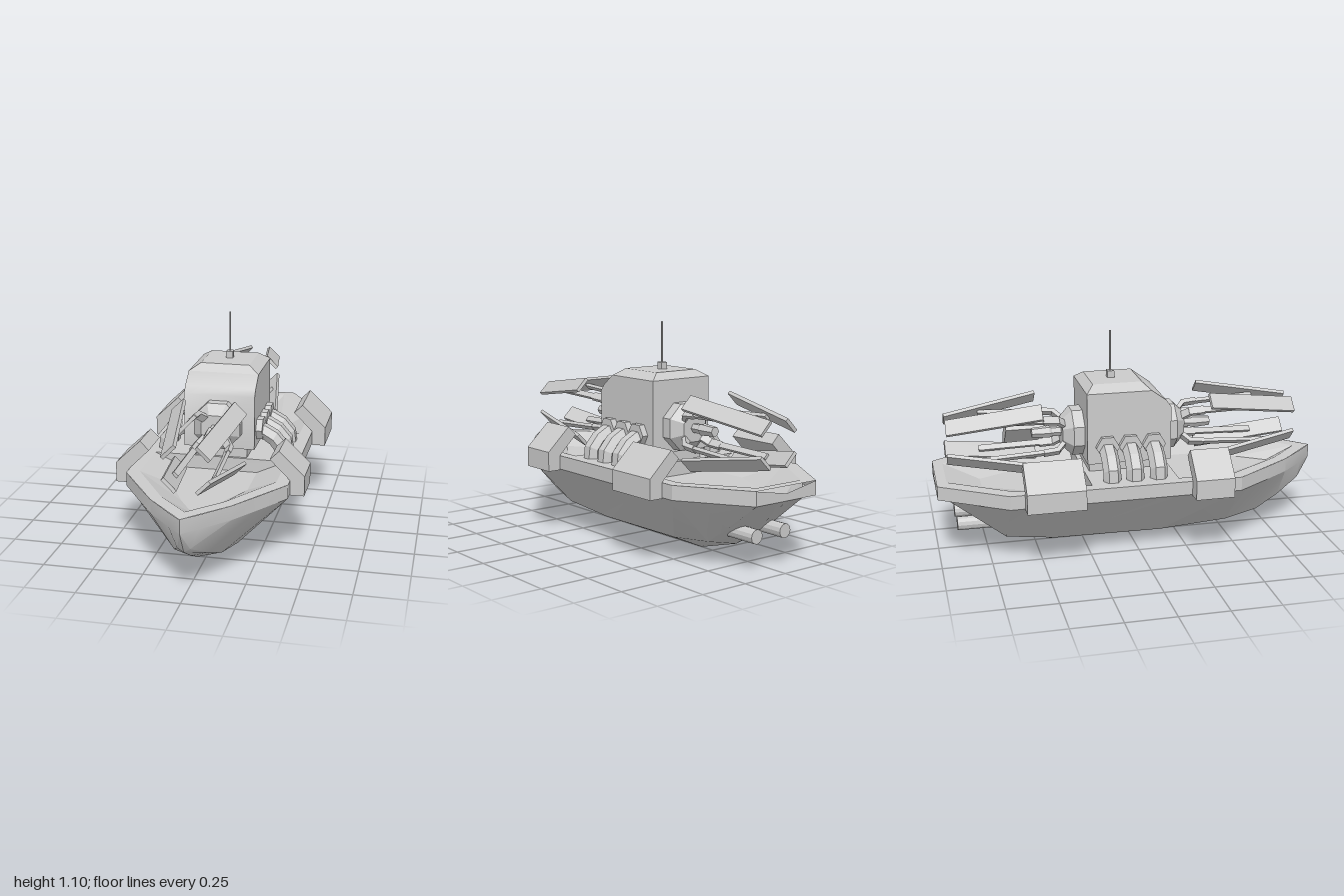
import * as THREE from 'three';
import { toCreasedNormals } from 'three/addons/utils/BufferGeometryUtils.js';

const flat = new THREE.MeshStandardMaterial({ color: 0xcccccc, flatShading: true });
const flatDouble = new THREE.MeshStandardMaterial({ color: 0xcccccc, flatShading: true, side: THREE.DoubleSide });
const smooth = new THREE.MeshStandardMaterial({ color: 0xcccccc, side: THREE.DoubleSide });

function add(parent, name, geometry, material = flat, x = 0, y = 0, z = 0) {
  const mesh = new THREE.Mesh(geometry, material);
  mesh.name = name;
  mesh.position.set(x, y, z);
  parent.add(mesh);
  return mesh;
}

// Skin over a list of cross-sections that all have the same point count
function loft(rings, closed) {
  const n = rings[0].length, index = [];
  for (let i = 0; i < rings.length - 1; i++) {
    for (let j = 0; j < (closed ? n : n - 1); j++) {
      const a = i * n + j, b = i * n + (j + 1) % n;
      index.push(a, b, a + n, b, b + n, a + n);
    }
  }
  const g = new THREE.BufferGeometry();
  g.setAttribute('position', new THREE.Float32BufferAttribute(rings.flat(2), 3));
  g.setIndex(index);
  g.computeVertexNormals();
  return g;
}

// Extrude a profile of [u, v] points to a given depth
function prism(points, depth) {
  const shape = new THREE.Shape(points.map(p => new THREE.Vector2(...p)));
  return new THREE.ExtrudeGeometry(shape, { depth, bevelEnabled: false });
}

// Mirror a half outline, given from one end to the other, across x = 0
const mirrored = half => [...half, ...half.filter(p => p[0] > 0).reverse().map(([x, z]) => [-x, z])];

function makeHull(ship) {
  // z, sheer half-width, chine x, chine y, keel y
  const stations = [
    [1, 0, 0, 0.34, 0.34], [0.93, 0.07, 0.03, 0.24, 0.22], [0.8, 0.19, 0.08, 0.17, 0.145],
    [0.67, 0.28, 0.12, 0.115, 0.08], [0.49, 0.4, 0.16, 0.09, 0.055], [0.13, 0.4, 0.18, 0.075, 0],
    [-0.42, 0.4, 0.18, 0.08, 0], [-0.67, 0.4, 0.18, 0.11, 0.07],
    [-0.78, 0.33, 0.16, 0.19, 0.14], [-1, 0.19, 0.1, 0.34, 0.34],
  ];
  const rings = stations.map(([z, w, cx, cy, k]) => {
    const half = [[w, 0.41, z], [w, 0.34, z], [cx, cy, z]];
    return [...half, [0, k, z], ...half.slice().reverse().map(([x, y]) => [-x, y, z])];
  });
  rings.push(rings[0].map(() => [0, 0.375, -1]));
  add(ship, 'hull', toCreasedNormals(loft(rings, false), 0.45), smooth);

  // Deck with a sunken well fore and aft
  const outline = mirrored([[0, 1], [0.19, 0.8], [0.4, 0.49], [0.4, -0.67], [0.19, -1]]);
  const wells = [
    { name: 'foreWell',
      rim: mirrored([[0.34, 0.18], [0.34, 0.46], [0.155, 0.75], [0, 0.91]]),
      floor: mirrored([[0.19, 0.18], [0.19, 0.42], [0.09, 0.62], [0, 0.76]]) },
    { name: 'aftWell',
      rim: mirrored([[0.34, -0.26], [0.34, -0.64], [0.14, -0.95], [0, -0.95]]),
      floor: mirrored([[0.19, -0.26], [0.19, -0.5], [0.06, -0.77], [0, -0.77]]) },
  ];
  const toVec = ([x, z]) => new THREE.Vector2(x, -z);
  const deck = new THREE.Shape(outline.map(toVec));
  for (const { name, rim, floor } of wells) {
    deck.holes.push(new THREE.Path(rim.map(toVec)));
    const level = (ring, y) => ring.map(([x, z]) => [x, y, z]);
    const center = floor.map(() => [0, 0.34, floor[1][1]]);
    add(ship, name, loft([level(rim, 0.41), level(floor, 0.34), center], true), flatDouble);
  }
  add(ship, 'deck', new THREE.ShapeGeometry(deck).rotateX(-Math.PI / 2), flatDouble, 0, 0.41, 0);

  // Stern exhausts
  for (const s of [-1, 1]) {
    add(ship, 'exhaust', new THREE.CylinderGeometry(0.035, 0.035, 0.25, 12).rotateX(Math.PI / 2),
      flat, s * 0.09, 0.167, -0.78);
  }
}

function makeCabin(ship) {
  const cabin = new THREE.Group();
  cabin.name = 'cabin';
  cabin.position.x = -0.004;
  ship.add(cabin);
  add(cabin, 'plinth', new THREE.BoxGeometry(0.28, 0.08, 0.4), flat, 0, 0.43, -0.035);

  // Side profile with a sloped brow, swept across the width
  const side = [[0.18, 0.46], [0.18, 0.735], [0.155, 0.77], [0.08, 0.825], [-0.25, 0.825], [-0.25, 0.46]];
  const body = prism(side.map(([z, y]) => [-z, y]), 0.36).translate(0, 0, -0.18).rotateY(Math.PI / 2);
  add(cabin, 'cabinBody', toCreasedNormals(body, 0.7), smooth);

  const slab = (x, y, z0, z1) => [[-x, y, z1], [x, y, z1], [x, y, z0], [-x, y, z0]];
  const middle = slab(0, 0.86, -0.085, -0.085);
  add(cabin, 'roof', loft([slab(0.18, 0.825, -0.25, 0.08), slab(0.125, 0.86, -0.21, 0.04), middle], true), flatDouble);
  add(cabin, 'antennaBase', new THREE.BoxGeometry(0.035, 0.04, 0.035), flat, -0.003, 0.875, -0.095);
  add(cabin, 'antenna', new THREE.CylinderGeometry(0.005, 0.005, 0.21, 6), flat, -0.003, 0.995, -0.095);
}

// Mount with a short barrel and four converging panels, pointing along +z
function makeTurret(name) {
  const turret = new THREE.Group();
  turret.name = name;
  const drum = (rBack, rFront, z0, z1, sides) =>
    new THREE.CylinderGeometry(rFront, rBack, z1 - z0, sides)
      .rotateY(Math.PI / sides).rotateX(Math.PI / 2).translate(0, 0, (z0 + z1) / 2);
  add(turret, 'mountBase', drum(0.127, 0.127, -0.03, 0.05, 8));
  add(turret, 'mountTaper', drum(0.127, 0.075, 0.05, 0.1, 8));
  add(turret, 'barrelRoot', drum(0.025, 0.025, 0.09, 0.16, 6));
  add(turret, 'barrelCollar', drum(0.022, 0.032, 0.14, 0.16, 6));
  add(turret, 'barrel', drum(0.032, 0.025, 0.16, 0.25, 6));

  // Flat bar between two [radius, z] points
  const bar = (parent, part, [r0, z0], [r1, z1], width, thick) => {
    const mesh = add(parent, part, new THREE.BoxGeometry(width, thick, Math.hypot(r1 - r0, z1 - z0)),
      flat, 0, (r0 + r1) / 2, (z0 + z1) / 2);
    mesh.rotation.x = -Math.atan2(r1 - r0, z1 - z0);
  };
  for (let i = 0; i < 4; i++) {
    const petal = new THREE.Group();
    petal.name = 'panelArm';
    petal.rotation.z = Math.PI / 4 + i * Math.PI / 2;
    bar(petal, 'armRoot', [0.06, 0.08], [0.115, 0.13], 0.04, 0.022);
    bar(petal, 'armElbow', [0.112, 0.12], [0.12, 0.2], 0.04, 0.022);
    bar(petal, 'armTip', [0.118, 0.19], [0.135, 0.51], 0.03, 0.018);
    bar(petal, 'panel', [0.212, 0.213], [0.112, 0.683], 0.085, 0.018);
    turret.add(petal);
  }
  return turret;
}

// Everything on one flank, built on +x
function makeFlank(ship, s) {
  const flank = new THREE.Group();
  flank.name = s > 0 ? 'leftFlank' : 'rightFlank';
  // Turning the rings around keeps faces outward on both sides
  const pod = [[0.345, 0.555], [0.3, 0.51], [0.4, 0.41], [0.4, 0.335], [0.47, 0.335], [0.47, 0.435]];
  for (const [z0, z1] of [[0.235, 0.432], [-0.598, -0.31]]) {
    add(flank, 'sidePod', prism(pod.map(([x, y]) => [s * x, y]), z1 - z0), flat, 0, 0, z0);
  }
  // Bent hexagonal pipes: centre x, y and outward direction angle
  const bends = [[0.18, 0.535, 1.57], [0.215, 0.53, 1.4], [0.262, 0.502, 1.05], [0.3, 0.455, 0.5], [0.305, 0.39, 0]];
  const rings = bends.map(([x, y, a]) => Array.from({ length: 6 }, (_, k) => {
    const t = k * Math.PI / 3, n = 0.042 * Math.sin(t);
    return [s * (x + n * Math.cos(a)), y + n * Math.sin(a), 0.045 * Math.cos(t)];
  }));
  for (const z of [0.087, -0.033, -0.15]) {
    add(flank, 'pipe', loft(rings, true), flatDouble, 0, 0, z);
    add(flank, 'pipeFlange', new THREE.CylinderGeometry(0.06, 0.06, 0.05, 6).rotateZ(Math.PI / 2),
      flat, s * 0.183, 0.55, z);
  }
  ship.add(flank);
}

export function createModel() {
  const ship = new THREE.Group();
  ship.name = 'gunboat';
  makeHull(ship);
  makeCabin(ship);
  for (const s of [1, -1]) makeFlank(ship, s);

  const fore = makeTurret('foreTurret');
  fore.position.set(-0.005, 0.59, 0.18);
  const aft = makeTurret('aftTurret');
  aft.position.set(-0.005, 0.59, -0.255);
  aft.rotation.y = Math.PI;
  ship.add(fore, aft);
  return ship;
}
